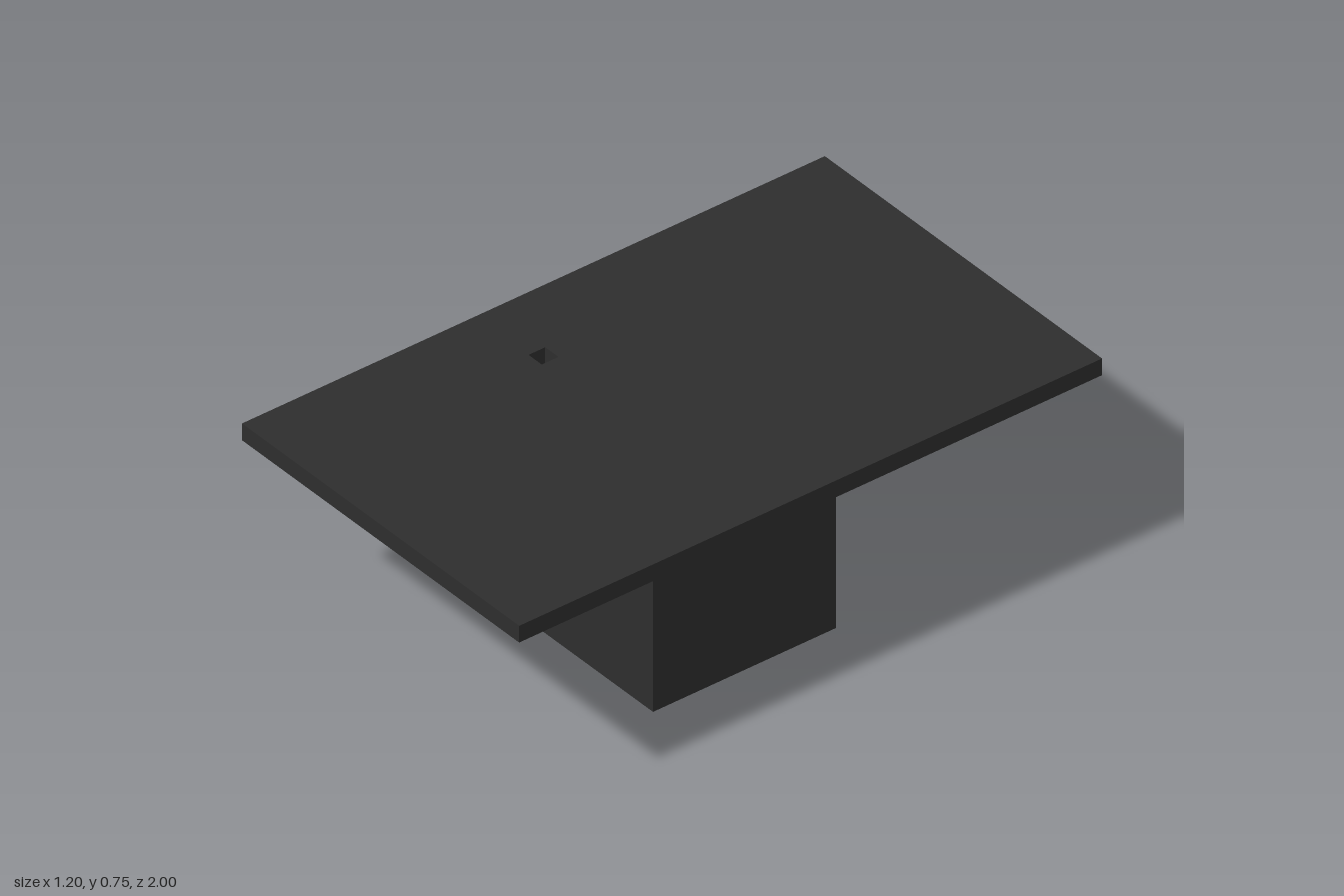
import * as THREE from 'three';

const charcoal = new THREE.MeshStandardMaterial({ color: 0x2e2e2e });
charcoal.name = 'charcoal';

const rect = (x0, y0, x1, y1) =>
  [[x0, y0], [x1, y0], [x1, y1], [x0, y1]].map(([x, y]) => new THREE.Vector2(x, y));

// Upright slab: an outline in plan (x, -z) with one hole, extruded up from y = bottom
function slab(name, outline, hole, bottom, top) {
  const shape = new THREE.Shape(outline);
  shape.holes.push(new THREE.Path(hole));
  const geometry = new THREE.ExtrudeGeometry(shape, { depth: top - bottom, bevelEnabled: false });
  geometry.rotateX(-Math.PI / 2).translate(0, bottom, 0);
  const mesh = new THREE.Mesh(geometry, charcoal);
  mesh.name = name;
  return mesh;
}

export function createModel() {
  const group = new THREE.Group();
  group.name = 'plateOnSocket';

  const plateBottom = 0.69, plateTop = 0.745, half = 0.314;

  // Square socket block with a hollow whose four corners are notched
  const a = 0.2, b = 0.145;
  const hollow = [
    [a, -b], [a, b], [b, b], [b, a], [-b, a], [-b, b],
    [-a, b], [-a, -b], [-b, -b], [-b, -a], [b, -a], [b, -b],
  ].map(([x, y]) => new THREE.Vector2(x, y));
  group.add(slab('socketBlock', rect(-half, -half, half, half), hollow, 0, plateBottom));

  // Flat top plate with a small square hole beside the block
  group.add(slab('topPlate', rect(-0.6, -1, 0.6, 1),
    rect(-0.371, -0.198, -half, -0.141), plateBottom, plateTop));

  return group;
}
